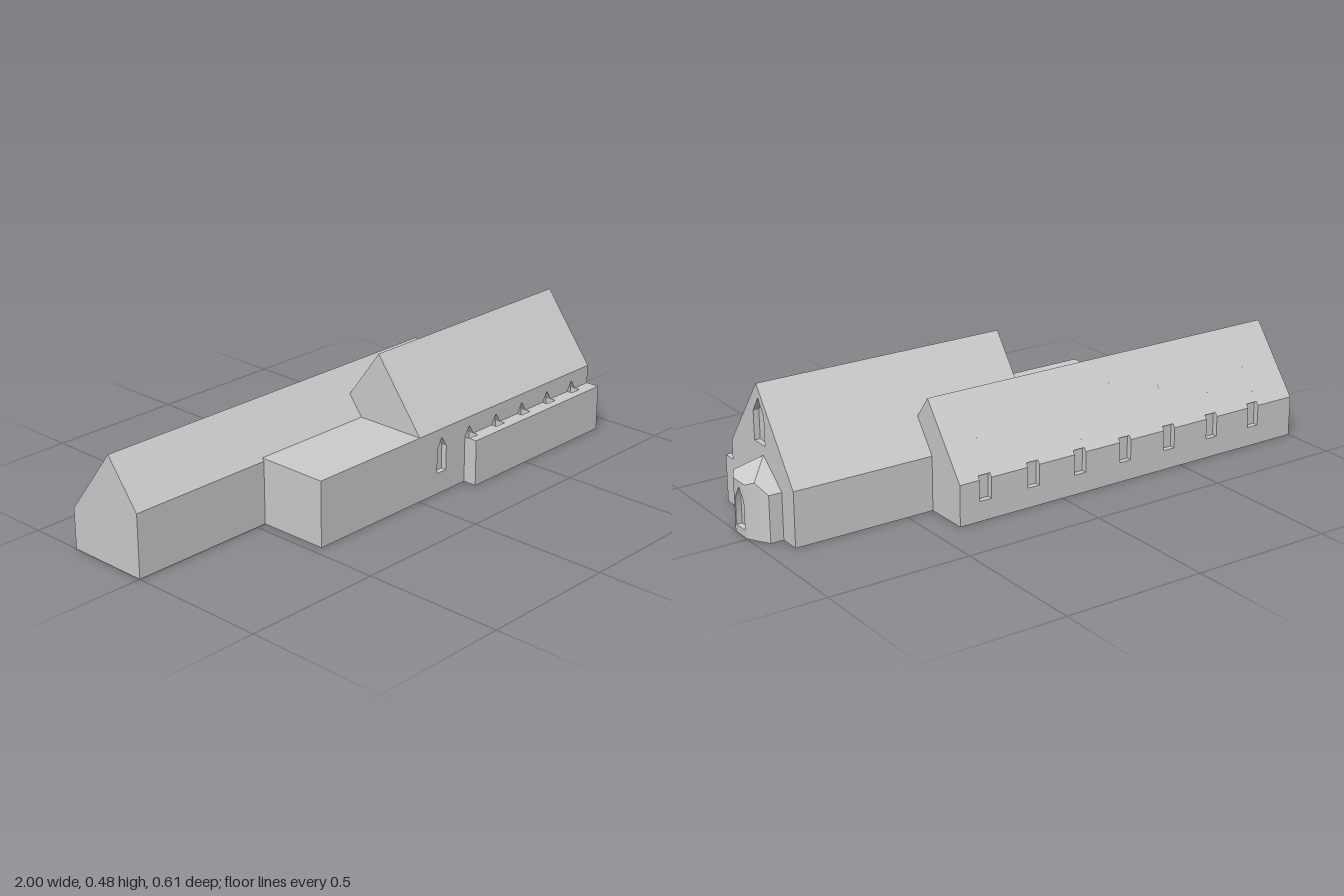
import * as THREE from 'three';
import { mergeGeometries, toCreasedNormals } from 'three/addons/utils/BufferGeometryUtils.js';

const stone = new THREE.MeshStandardMaterial({ color: 0xcccccc });
stone.name = 'stone grey';

const toShape = (pts) => new THREE.Shape(pts.map(([a, b]) => new THREE.Vector2(a, b)));

// Pointed window outline: square base with a triangular head
const lancet = (c, w, y0, shoulder, tip) => toShape(
  [[c - w / 2, y0], [c + w / 2, y0], [c + w / 2, shoulder], [c, tip], [c - w / 2, shoulder]]);

// Extrude a [z, y] profile along x from x0 to x1
function alongX(profile, x0, x1, holes = []) {
  const shape = toShape(profile.map(([z, y]) => [-z, y]));
  shape.holes.push(...holes);
  return new THREE.ExtrudeGeometry(shape, { depth: x1 - x0, bevelEnabled: false })
    .rotateY(Math.PI / 2).translate(x0, 0, 0);
}

// Extrude an [x, y] outline along z from z0 to z1
function alongZ(outline, z0, z1, holes = []) {
  const shape = toShape(outline);
  shape.holes.push(...holes);
  return new THREE.ExtrudeGeometry(shape, { depth: z1 - z0, bevelEnabled: false }).translate(0, 0, z0);
}

function block(x0, x1, y1, z0, z1) {
  return new THREE.BoxGeometry(x1 - x0, y1, z1 - z0)
    .translate((x0 + x1) / 2, y1 / 2, (z0 + z1) / 2);
}

// Apse walls and hipped roof, leaving the end wall open for its window slab
function apseShell() {
  const zc = 0.041, verts = [];
  const face = (pts) => {
    for (let i = 1; i < pts.length - 1; i++) verts.push(...pts[0], ...pts[i], ...pts[i + 1]);
  };
  const apex = [0.91, 0.25, zc];
  const corners = (s) => ({
    w0: [0.91, 0, zc + s * 0.111], w1: [0.91, 0.162, zc + s * 0.111],
    s0: [0.956, 0, zc + s * 0.111], s1: [0.956, 0.162, zc + s * 0.111],
    p: [0.982, 0.196, zc + s * 0.068],
    e0: [1, 0, zc + s * 0.038], e1: [1, 0.183, zc + s * 0.038],
  });
  const L = corners(1), R = corners(-1);
  for (const [c, flip] of [[L, false], [R, true]]) {
    const faces = [
      [c.w0, c.s0, c.s1, c.w1],
      [c.s0, c.e0, c.e1, c.p, c.s1],
      [c.w1, c.s1, c.p, apex],
    ];
    faces.forEach((f) => face(flip ? f.reverse() : f));
  }
  face([apex, L.p, L.e1, R.e1, R.p]);
  face([L.w0, R.w0, R.s0, R.e0, L.e0, L.s0]);
  const g = new THREE.BufferGeometry();
  g.setAttribute('position', new THREE.Float32BufferAttribute(verts, 3));
  g.computeVertexNormals();
  return g;
}

export function createModel() {
  const model = new THREE.Group();
  model.name = 'church';
  const add = (name, geometry, parent = model) => {
    const mesh = new THREE.Mesh(geometry, stone);
    mesh.name = name;
    parent.add(mesh);
  };
  const group = (name) => {
    const g = new THREE.Group();
    g.name = name;
    model.add(g);
    return g;
  };

  // Nave: core, front wall with sunk lancets, and gable end wall
  const nave = group('nave');
  const ridgeAndBack = [[0.07, 0.48], [-0.145, 0.19], [-0.145, 0]];
  add('naveCore', alongX([[0.235, 0], [0.235, 0.232], [0.255, 0.232], ...ridgeAndBack], 0, 0.89), nave);
  const windowX = [0, 1, 2, 3, 4, 5].map((i) => 0.112 + i * 0.1408);
  add('naveFrontWall', alongZ([[0, 0], [0.89, 0], [0.89, 0.232], [0, 0.232]], 0.235, 0.255,
    windowX.map((x) => lancet(x, 0.045, 0.075, 0.163, 0.2))), nave);
  add('naveGableWall', alongX([[0.255, 0], [0.255, 0.232], ...ridgeAndBack], 0.89, 0.91,
    [lancet(-0.062, 0.068, 0.283, 0.382, 0.434)]), nave);

  // Low aisle, its roof notched in front of each lancet
  const aisle = group('aisle');
  add('aisleOuter', block(0.23, 0.91, 0.165, 0.275, 0.305), aisle);
  const outline = [[0.23, 0], [0.91, 0], [0.91, 0.165]];
  for (const x of windowX.slice(1).reverse()) {
    const a = x - 0.0225, b = x + 0.0225;
    outline.push([b, 0.165], [b, 0.075], [a, 0.075], [a, 0.165]);
  }
  outline.push([0.23, 0.165]);
  add('aisleInner', alongZ(outline, 0.255, 0.275), aisle);

  // Flat-roofed annex
  add('annex', block(-0.465, 0, 0.232, -0.03, 0.255));

  // Rear hall: plain bays alternating with bays sunk for a window
  const hall = group('rearHall');
  const front = [[0, 0], [0, 0.222], [-0.122, 0.381]];
  const plain = [...front, [-0.305, 0.143], [-0.305, 0]];
  const sunk = [...front, [-0.2957, 0.155], [-0.285, 0.155], [-0.285, 0.07], [-0.305, 0.07], [-0.305, 0]];
  let x = -1;
  for (let i = 0; i < 7; i++) {
    const c = -0.825 + i * 0.1885;
    add('hallBay', alongX(plain, x, c - 0.023), hall);
    add('hallWindowBay', alongX(sunk, c - 0.023, c + 0.023), hall);
    x = c + 0.023;
  }
  add('hallBay', alongX(plain, x, 0.404), hall);

  // Apse with a sunk lancet in its end wall
  const endWall = alongX([[0.079, 0], [0.079, 0.183], [0.003, 0.183], [0.003, 0]], 0.98, 1,
    [lancet(-0.043, 0.057, 0.025, 0.12, 0.163)]);
  endWall.deleteAttribute('uv');
  const apse = group('apse');
  add('apseWallsAndRoof', toCreasedNormals(mergeGeometries([apseShell(), endWall]), 0.7), apse);
  add('apseWindowBack', block(0.975, 0.98, 0.175, 0.005, 0.077), apse);

  return model;
}
